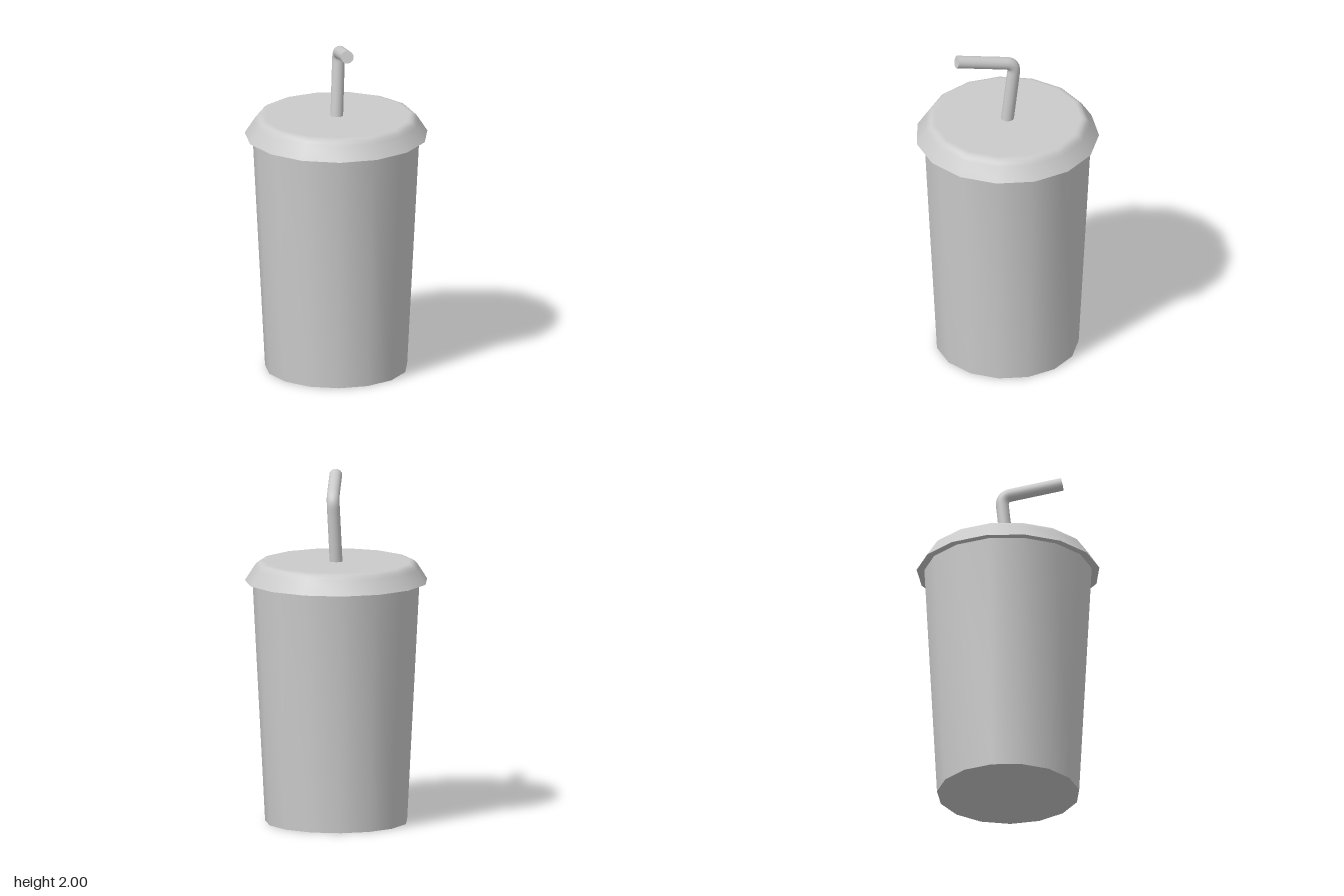
import * as THREE from 'three';
import { toCreasedNormals } from 'three/addons/utils/BufferGeometryUtils.js';

const SIDES = 15;
const AXIS_X = -0.006;

export function createModel() {
  const group = new THREE.Group();
  const material = new THREE.MeshStandardMaterial({ color: 0xcccccc });

  function add(name, geometry, parent = group) {
    const mesh = new THREE.Mesh(geometry, material);
    mesh.name = name;
    parent.add(mesh);
    return mesh;
  }

  // Closed fifteen-sided turned body with a corner on +x
  function turned(name, profile) {
    const points = profile.map(([r, y]) => new THREE.Vector2(r, y));
    const lathe = new THREE.LatheGeometry(points, SIDES, Math.PI / 2);
    const mesh = add(name, toCreasedNormals(lathe, THREE.MathUtils.degToRad(40)));
    mesh.position.x = AXIS_X;
  }

  // Tapered cup, closed at the base and running up into the lid
  turned('cup', [[0, 0], [0.411, 0], [0.484, 1.41], [0, 1.41]]);

  // Flared lid with a flat underside and a softened top rim
  turned('lid', [
    [0, 1.4], [0.528, 1.4], [0.476, 1.48], [0.464, 1.498],
    [0.45, 1.51], [0.433, 1.515], [0.42, 1.515], [0, 1.515],
  ]);

  // Bent drinking straw: leaning stem, rounded elbow, mouthpiece to the front
  const radius = 0.037;
  const start = new THREE.Vector3(-0.004, 1.5, 0);
  const corner = new THREE.Vector3(0.013, 1.888, -0.04);
  const end = new THREE.Vector3(0.013, 1.965, 0.309);
  const toward = (target) => corner.clone().add(
    target.clone().sub(corner).setLength(0.055));
  const elbowIn = toward(start);
  const elbowOut = toward(end);

  const path = new THREE.CurvePath();
  path.add(new THREE.LineCurve3(start, elbowIn));
  path.add(new THREE.QuadraticBezierCurve3(elbowIn, corner, elbowOut));
  path.add(new THREE.LineCurve3(elbowOut, end));

  const straw = new THREE.Group();
  straw.name = 'straw';
  group.add(straw);
  add('strawTube', new THREE.TubeGeometry(path, 64, radius, 16), straw);

  // Flat discs closing both straw ends
  for (const [name, at, from] of [['strawTip', end, corner], ['strawFoot', start, corner]]) {
    const cap = add(name, new THREE.CircleGeometry(radius, 16), straw);
    cap.position.copy(at);
    cap.quaternion.setFromUnitVectors(
      new THREE.Vector3(0, 0, 1), at.clone().sub(from).normalize());
  }

  return group;
}
